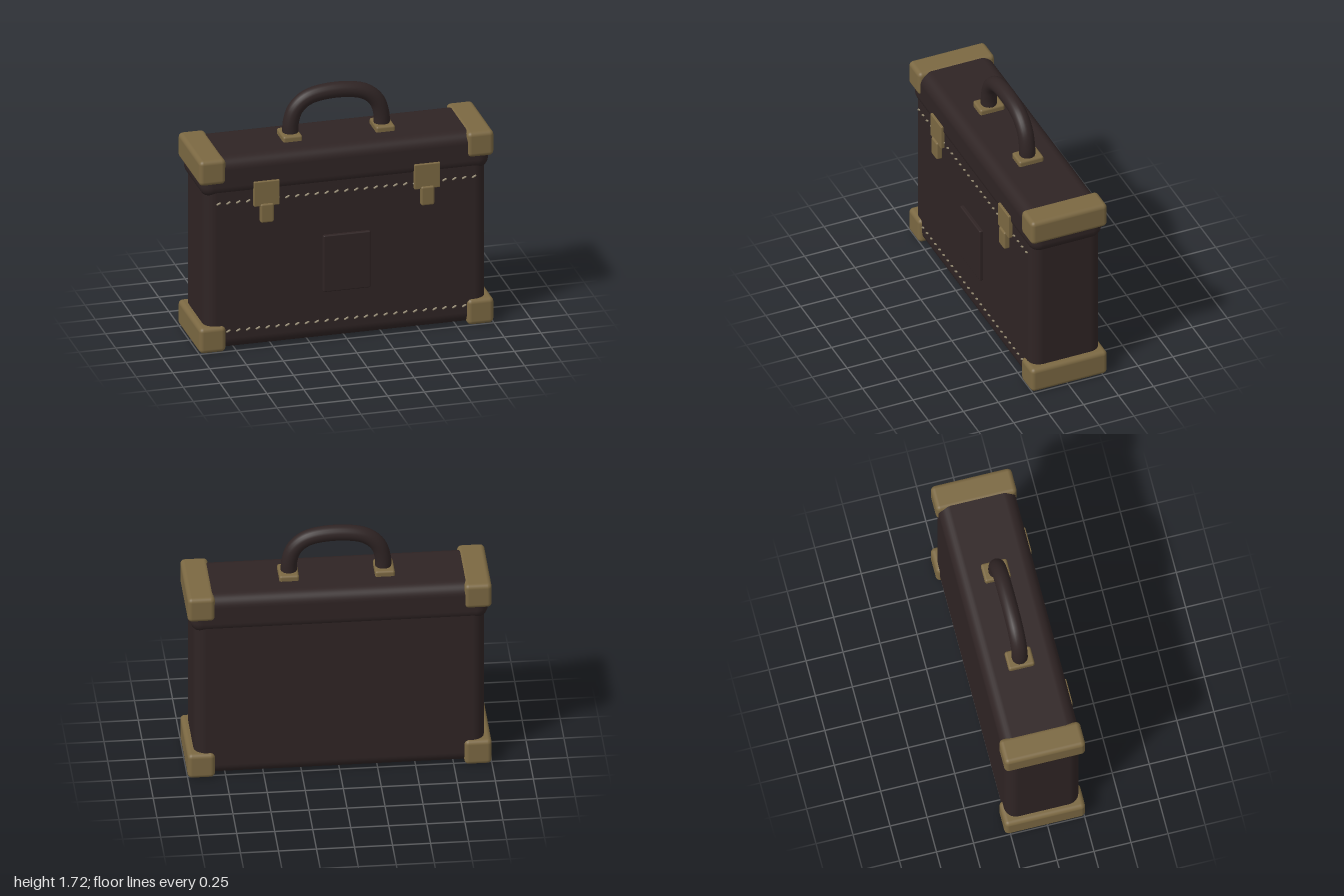
import * as THREE from 'three';
import { RoundedBoxGeometry } from 'three/addons/geometries/RoundedBoxGeometry.js';

const CZ = -0.013; // depth centre of the case

function material(name, color) {
  const m = new THREE.MeshStandardMaterial({ color });
  m.name = name;
  return m;
}

export function createModel() {
  const leather = material('dark leather', 0x2f2424);
  const brass = material('aged brass', 0x7b6842);
  const thread = material('thread', 0x8f846c);

  const model = new THREE.Group();
  model.name = 'case';

  function add(name, geometry, mat, x, y, z) {
    const mesh = new THREE.Mesh(geometry, mat);
    mesh.name = name;
    mesh.position.set(x, y, z);
    model.add(mesh);
    return mesh;
  }

  // Rounded box given by its width, depth and its bottom and top heights
  function box(name, mat, w, d, y0, y1, x, z, radius) {
    return add(name, new RoundedBoxGeometry(w, y1 - y0, d, 4, radius), mat, x, (y0 + y1) / 2, z);
  }

  // Case body and the slightly wider lid
  box('body', leather, 1.91, 0.5, 0.005, 1.25, 0, CZ, 0.08);
  box('lid', leather, 1.96, 0.52, 1.085, 1.362, 0, CZ, 0.08);

  for (const side of [-1, 1]) {
    // Brass end caps, bottom and top
    box('bottomCornerCap', brass, 0.18, 0.545, 0, 0.18, side * 0.91, CZ, 0.03);
    box('topCornerCap', brass, 0.18, 0.545, 1.19, 1.367, side * 0.91, CZ, 0.03);

    // Handle mounts
    box('handleMount', brass, 0.13, 0.175, 1.34, 1.4, side * 0.315, CZ - 0.002, 0.015);

    // Latch plate and tongue
    box('latchPlate', brass, 0.175, 0.035, 1.01, 1.185, side * 0.545, 0.246, 0.006);
    box('latchTongue', brass, 0.09, 0.045, 0.895, 1.028, side * 0.545, 0.254, 0.012);
  }

  // Arched carrying handle
  const arch = new THREE.CatmullRomCurve3([
    [-0.31, 1.37], [-0.308, 1.46], [-0.275, 1.56], [-0.19, 1.632], [0, 1.662],
    [0.19, 1.632], [0.275, 1.56], [0.308, 1.46], [0.31, 1.37],
  ].map(([x, y]) => new THREE.Vector3(x, y, 0)));
  add('handle', new THREE.TubeGeometry(arch, 48, 0.053, 20), leather, 0, 0, CZ);

  // Plain leather badge on the front
  box('frontBadge', leather, 0.32, 0.03, 0.35, 0.75, 0, 0.246, 0.008);

  // Slanted stitches in two rows
  const stitch = new THREE.CapsuleGeometry(0.007, 0.02, 3, 8);
  for (const [name, y, count] of [['upperStitch', 1.05, 27], ['lowerStitch', 0.14, 25]]) {
    for (let i = 0; i < count; i++) {
      const mesh = add(name, stitch, thread, (i - (count - 1) / 2) * 0.0667, y, 0.24);
      mesh.rotation.z = -1.1;
    }
  }

  return model;
}
